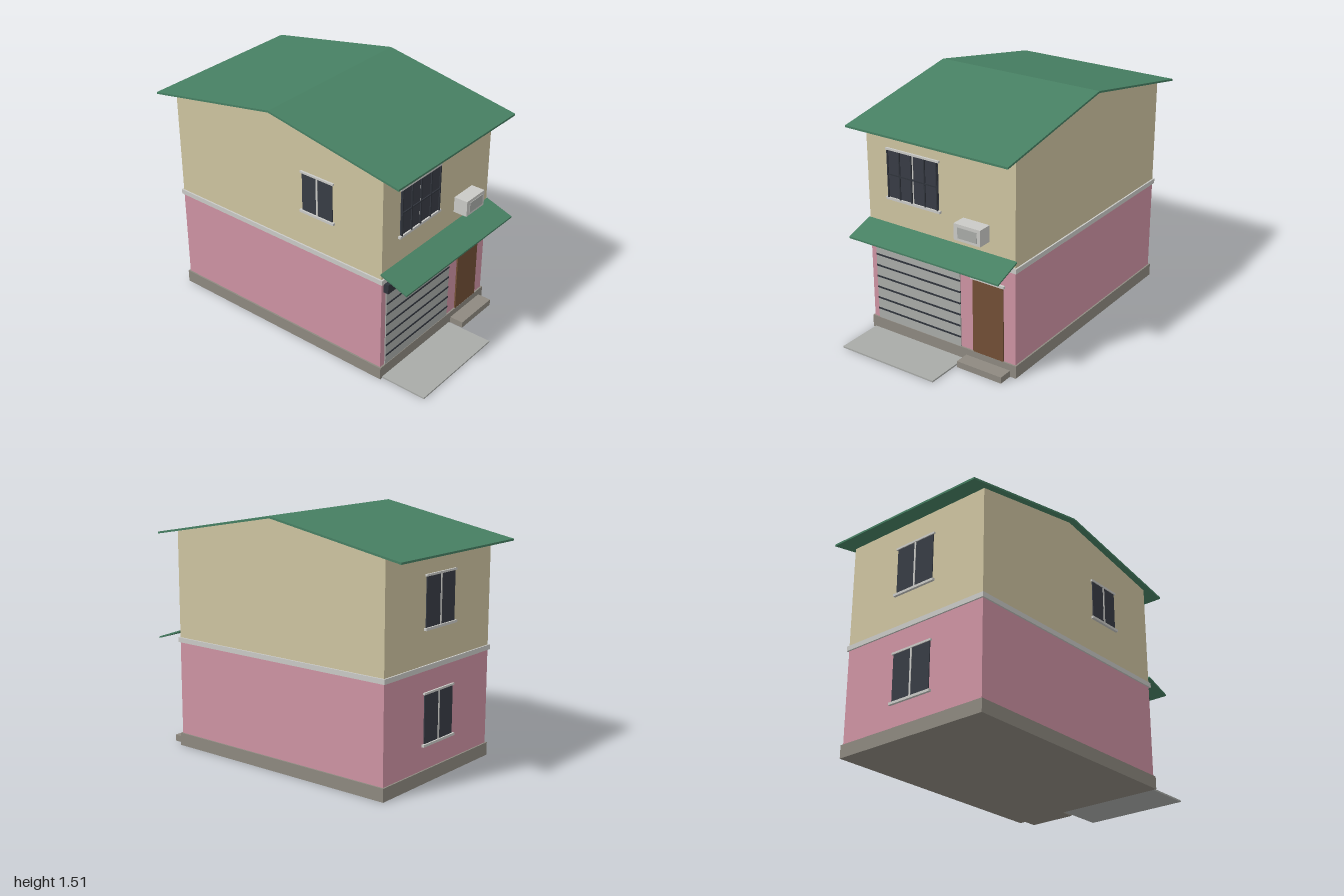
import * as THREE from 'three';

const mat = (name, color) => {
  const m = new THREE.MeshStandardMaterial({ color });
  m.name = name;
  return m;
};

export function createModel() {
  const house = new THREE.Group();
  house.name = 'house';

  const cream = mat('cream wall', 0xcec4a0);
  const pink = mat('pink wall', 0xce93a3);
  const green = mat('green roofing', 0x478063);
  const pale = mat('pale trim', 0xcacac6);
  const grey = mat('grey metal', 0xa9aba8);
  const plinthGrey = mat('plinth stone', 0x8e8980);
  const brown = mat('brown door', 0x724f35);
  const glass = mat('dark glass', 0x383c45);
  const dark = mat('dark iron', 0x30343c);

  // Box given by its extents on each axis
  const box = (name, material, [x0, x1], [y0, y1], [z0, z1], parent = house) => {
    const mesh = new THREE.Mesh(new THREE.BoxGeometry(x1 - x0, y1 - y0, z1 - z0), material);
    mesh.position.set((x0 + x1) / 2, (y0 + y1) / 2, (z0 + z1) / 2);
    mesh.name = name;
    parent.add(mesh);
    return mesh;
  };

  // Side profile of [z, y] points, extruded across x
  const profile = (name, material, points, halfWidth) => {
    const shape = new THREE.Shape(points.map(([z, y]) => new THREE.Vector2(-z, y)));
    const geo = new THREE.ExtrudeGeometry(shape, { depth: halfWidth * 2, bevelEnabled: false });
    geo.translate(0, 0, -halfWidth).rotateY(Math.PI / 2);
    const mesh = new THREE.Mesh(geo, material);
    mesh.name = name;
    house.add(mesh);
  };

  // Ground works
  box('plinth', plinthGrey, [-0.53, 0.53], [0, 0.08], [-0.88, 0.7]);
  box('doorStep', plinthGrey, [0.18, 0.49], [0, 0.04], [0.7, 0.79]);
  box('driveway', grey, [-0.51, 0.165], [0, 0.01], [0.7, 1]);

  // Storeys and the band between them
  box('lowerStorey', pink, [-0.52, 0.52], [0.08, 0.67], [-0.87, 0.69]);
  box('floorBand', pale, [-0.53, 0.53], [0.665, 0.695], [-0.88, 0.7]);
  profile('upperStorey', cream,
    [[0.69, 0.69], [0.69, 1.353], [-0.09, 1.497], [-0.87, 1.353], [-0.87, 0.69]], 0.52);

  // Gabled roof and front awning
  profile('roof', green,
    [[0.82, 1.33], [0.82, 1.342], [-0.09, 1.508], [-1, 1.342], [-1, 1.33], [-0.09, 1.496]], 0.56);
  profile('awning', green,
    [[0.69, 0.728], [0.69, 0.738], [0.87, 0.675], [0.87, 0.665]], 0.53);

  // Roller shutter with its slat gaps and housing
  box('garageShutter', grey, [-0.48, 0.14], [0.08, 0.6], [0.685, 0.697]);
  for (let i = 0; i < 6; i++) {
    const y = 0.145 + i * 0.073;
    box('shutterGap', dark, [-0.48, 0.14], [y - 0.005, y + 0.005], [0.69, 0.701]);
  }
  box('shutterHousing', dark, [-0.5, 0.157], [0.6, 0.66], [0.69, 0.722]);

  // Front door
  box('frontDoor', brown, [0.23, 0.44], [0.08, 0.55], [0.685, 0.699]);
  box('doorLintel', pale, [0.22, 0.45], [0.55, 0.566], [0.685, 0.705]);

  // Air conditioner
  box('airConditioner', pale, [0.167, 0.347], [0.81, 0.91], [0.69, 0.78]);
  box('airConditionerGrille', grey, [0.195, 0.325], [0.827, 0.892], [0.775, 0.784]);

  // Window facing local +z, standing on its sill
  const addWindow = (name, width, height, position, turn, barred) => {
    const g = new THREE.Group();
    g.name = name;
    const w = width / 2;
    box('glass', glass, [-w, w], [0, height], [-0.005, 0.006], g);
    box('mullion', pale, [-0.006, 0.006], [0, height], [-0.005, 0.009], g);
    box('lintel', pale, [-w - 0.01, w + 0.01], [height, height + 0.012], [-0.005, 0.012], g);
    box('sill', pale, [-w - 0.015, w + 0.015], [-0.015, 0], [-0.005, 0.016], g);
    if (barred) {
      for (const x of [-w + 0.004, -w / 2, -0.005, w / 2, w - 0.004]) {
        box('grilleBar', dark, [x - 0.004, x + 0.004], [0, height], [0.009, 0.016], g);
      }
      box('grilleRail', dark, [-w, w], [height / 2 - 0.004, height / 2 + 0.004], [0.009, 0.016], g);
    }
    g.position.set(...position);
    g.rotation.y = turn;
    house.add(g);
  };
  addWindow('frontWindow', 0.36, 0.29, [-0.182, 0.91, 0.69], 0, true);
  addWindow('upperBackWindow', 0.28, 0.29, [0, 0.91, -0.87], Math.PI, false);
  addWindow('lowerBackWindow', 0.28, 0.29, [0, 0.235, -0.87], Math.PI, false);
  addWindow('sideWindow', 0.22, 0.24, [-0.52, 0.935, 0.23], -Math.PI / 2, false);

  return house;
}
